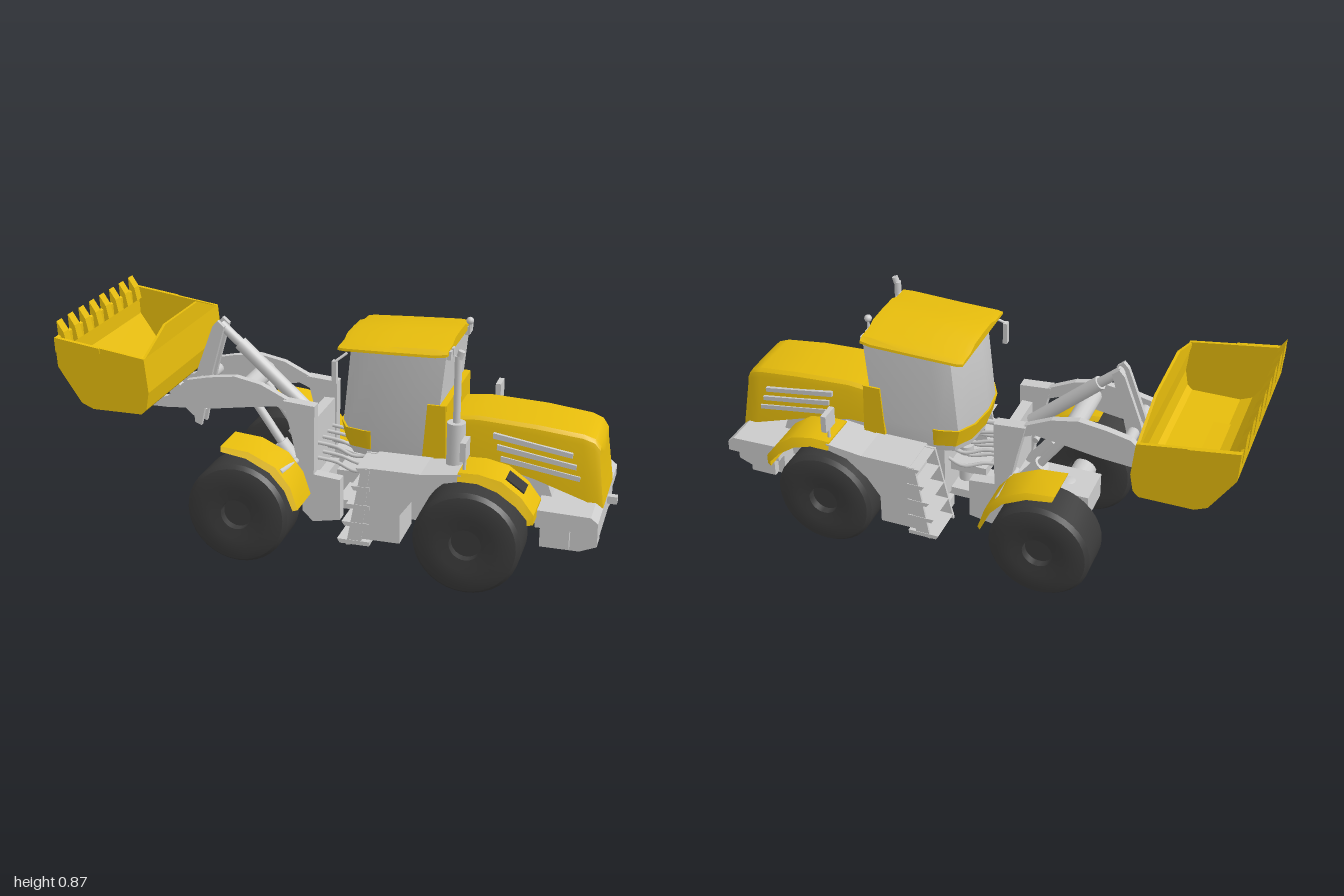
import * as THREE from 'three';
import { toCreasedNormals } from 'three/addons/utils/BufferGeometryUtils.js';

const material = (color) => new THREE.MeshStandardMaterial({ color, side: THREE.DoubleSide });
const GREY = material(0xcccccc), YELLOW = material(0xe6bc0c), DARK = material(0x3a3a3a);

export function createModel() {
  const model = new THREE.Group();
  const add = (name, geo, mat = GREY) => {
    const mesh = new THREE.Mesh(geo, mat);
    mesh.name = name;
    model.add(mesh);
    return mesh;
  };
  const box = (name, x0, x1, y0, y1, z0, z1, mat) =>
    add(name, new THREE.BoxGeometry(x1 - x0, y1 - y0, Math.abs(z1 - z0))
      .translate((x0 + x1) / 2, (y0 + y1) / 2, (z0 + z1) / 2), mat);
  // side outline in x, y pulled between two z values
  const plate = (name, pts, z0, z1, mat) => {
    const shape = new THREE.Shape(pts.map(([x, y]) => new THREE.Vector2(x, y)));
    const geo = new THREE.ExtrudeGeometry(shape, { depth: Math.abs(z1 - z0), bevelEnabled: false });
    return add(name, geo.translate(0, 0, Math.min(z0, z1)), mat);
  };
  const rod = (name, a, b, r, mat, r2 = r) => {
    const A = new THREE.Vector3(...a), B = new THREE.Vector3(...b), d = B.clone().sub(A);
    const mesh = add(name, new THREE.CylinderGeometry(r2, r, d.length(), 16), mat);
    mesh.position.copy(A).addScaledVector(d, 0.5);
    mesh.quaternion.setFromUnitVectors(new THREE.Vector3(0, 1, 0), d.normalize());
  };
  // capped skin through matching rings of points
  const loft = (name, rings, mat) => {
    const pos = [], n = rings[0].length;
    const tri = (...p) => p.forEach((q) => pos.push(...q));
    const centre = (r) => [0, 1, 2].map((k) => r.reduce((s, p) => s + p[k], 0) / n);
    const first = rings[0], last = rings[rings.length - 1], c0 = centre(first), c1 = centre(last);
    for (let j = 0; j < n; j++) {
      const k = (j + 1) % n;
      for (let i = 0; i + 1 < rings.length; i++) {
        const a = rings[i][j], b = rings[i][k], c = rings[i + 1][k], d = rings[i + 1][j];
        tri(a, d, b);
        tri(d, c, b);
      }
      tri(c0, first[j], first[k]);
      tri(c1, last[k], last[j]);
    }
    const geo = new THREE.BufferGeometry();
    geo.setAttribute('position', new THREE.Float32BufferAttribute(pos, 3));
    return add(name, toCreasedNormals(geo, 0.6), mat);
  };
  // half ring mirrored over z = 0; the last half point lies on the middle
  const mirrorRing = (half) => [...half, ...half.slice(0, -1).reverse().map(([x, y, z]) => [x, y, -z])];
  // bent mudguard with bevelled long edges; rows hold outer x, y and inner x, y
  const fender = (name, rows, s) => loft(name, rows.map(([ox, oy, ix, iy]) =>
    [[ix, iy, 0.088], [ox, oy, 0.074], [ox, oy, -0.074], [ix, iy, -0.088]].map(([x, y, z]) => [x, y, s * 0.263 + z])), YELLOW);

  // wheels and axles
  const tyreHalf = [[0, -0.06], [0.055, -0.06], [0.057, -0.088], [0.1, -0.093], [0.15, -0.095], [0.178, -0.086], [0.191, -0.07]];
  const tyrePts = [...tyreHalf, ...tyreHalf.slice().reverse().map(([r, y]) => [r, -y])].map((p) => new THREE.Vector2(...p));
  const wheelGeo = toCreasedNormals(new THREE.LatheGeometry(tyrePts, 36).rotateX(Math.PI / 2), 0.45);
  for (const x of [-0.32, 0.525]) {
    rod('axle', [x, 0.192, -0.21], [x, 0.192, 0.21], 0.045);
    add('differential', new THREE.SphereGeometry(0.075, 20, 12)).position.set(x, 0.2, 0);
    for (const s of [1, -1]) add('wheel', wheelGeo, DARK).position.set(x, 0.191, s * 0.263);
  }

  // bucket: bent shell, side walls, guard, hinge saddle and teeth
  const outer = [[-0.995, 0.8], [-0.99, 0.69], [-0.905, 0.56], [-0.86, 0.54], [-0.67, 0.54], [-0.65, 0.56], [-0.638, 0.625], [-0.65, 0.75]];
  const inner = outer.map(([x, y]) => [-0.82 + (x + 0.82) * 0.95, 0.69 + (y - 0.69) * 0.93]);
  inner[0][1] = 0.795;
  inner[7][1] = 0.75;
  plate('bucketShell', [...outer, ...inner.reverse()], -0.34, 0.34, YELLOW);
  plate('bucketSaddle', [[-0.91, 0.555], [-0.85, 0.5], [-0.8, 0.5], [-0.67, 0.545]], -0.16, 0.16, YELLOW);
  const guard = new THREE.Shape([[0.345, 0.73], [0.345, 0.745], [0.2, 0.8], [0.15, 0.82], [-0.15, 0.82], [-0.2, 0.8], [-0.345, 0.745], [-0.345, 0.73]]
    .map((p) => new THREE.Vector2(...p)));
  add('bucketGuard', new THREE.ExtrudeGeometry(guard, { depth: 0.01, bevelEnabled: false })
    .rotateY(Math.PI / 2).translate(-0.66, 0, 0), YELLOW);
  for (const s of [1, -1]) {
    plate('bucketSide', outer, s * 0.337, s * 0.35, YELLOW);
    plate('sideCutter', [[-0.995, 0.8], [-0.82, 0.775], [-0.82, 0.755], [-0.993, 0.745]], s * 0.345, s * 0.355, YELLOW);
    for (let i = 0; i < 4; i++) {
      const z = s * (0.0425 + i * 0.085);
      plate('bucketTooth', [[-1, 0.85], [-0.995, 0.74], [-0.965, 0.76], [-0.975, 0.81]], z - 0.02, z + 0.02, YELLOW);
    }
  }

  // loader linkage
  const armPts = [[-0.84, 0.505], [-0.66, 0.538], [-0.58, 0.61], [-0.49, 0.63], [-0.39, 0.643], [-0.29, 0.623], [-0.18, 0.57], [-0.085, 0.56],
    [-0.085, 0.505], [-0.17, 0.52], [-0.23, 0.545], [-0.34, 0.53], [-0.47, 0.51], [-0.66, 0.495], [-0.8, 0.495]];
  const towerPts = [[-0.2, 0.575], [-0.08, 0.565], [-0.085, 0.3], [0.015, 0.29], [0.015, 0.13], [-0.09, 0.11], [-0.13, 0.15], [-0.135, 0.28], [-0.17, 0.45]];
  for (const s of [1, -1]) {
    plate('liftArm', armPts, s * 0.118, s * 0.145);
    plate('frontTower', towerPts, s * 0.115, s * 0.16);
    rod('liftCylinder', [-0.24, 0.38, s * 0.08], [-0.12, 0.22, s * 0.08], 0.03);
    rod('liftRod', [-0.35, 0.55, s * 0.08], [-0.2, 0.33, s * 0.08], 0.016);
    plate('bellCrank', [[-0.515, 0.79], [-0.495, 0.812], [-0.47, 0.79], [-0.52, 0.62], [-0.555, 0.48], [-0.575, 0.39], [-0.6, 0.4], [-0.61, 0.52], [-0.58, 0.62]],
      s * 0.018, s * 0.036);
    fender('frontFender', [[-0.375, 0.447, -0.37, 0.432], [-0.27, 0.437, -0.275, 0.417], [-0.17, 0.39, -0.187, 0.373], [-0.115, 0.32, -0.132, 0.31],
      [-0.088, 0.235, -0.102, 0.235]], s);
    rod('fenderBracket', [-0.15, 0.34, s * 0.1], [-0.16, 0.365, s * 0.32], 0.012);
  }
  plate('bucketLink', [[-0.73, 0.52], [-0.67, 0.54], [-0.56, 0.45], [-0.585, 0.395]], -0.018, 0.018);
  rod('armCrossTube', [-0.36, 0.585, -0.12], [-0.36, 0.585, 0.12], 0.035);
  rod('crankPivot', [-0.56, 0.57, -0.12], [-0.56, 0.57, 0.12], 0.022);
  rod('tiltRod', [-0.495, 0.79, 0], [-0.36, 0.672, 0], 0.018);
  rod('tiltCylinder', [-0.42, 0.724, 0], [-0.17, 0.5, 0], 0.026);
  box('towerCrossPlate', -0.13, -0.09, 0.28, 0.5, -0.115, 0.115);
  box('frontChassis', -0.42, -0.06, 0.17, 0.27, -0.08, 0.08);

  // articulation joint and hoses
  for (const y of [0.14, 0.26]) box('hingePlate', -0.02, 0.14, y, y + 0.035, -0.08, 0.08);
  rod('hingePin', [0.09, 0.125, 0], [0.09, 0.33, 0], 0.028);
  for (const z of [-0.09, -0.03, 0.03, 0.09])
    for (const y of [0.33, 0.39]) {
      const curve = new THREE.CatmullRomCurve3([[-0.1, y + 0.01, z], [-0.02, y, z], [0.06, y - 0.02, z * 1.2], [0.15, y, z]]
        .map((p) => new THREE.Vector3(...p)));
      add('hose', new THREE.TubeGeometry(curve, 12, 0.007, 6));
    }

  // rear chassis, counterweight and hitch
  plate('rearChassis', [[0.12, 0.42], [0.5, 0.44], [0.76, 0.39], [0.8, 0.28], [0.78, 0.2], [0.66, 0.22], [0.4, 0.22], [0.3, 0.16], [0.12, 0.16]], -0.14, 0.14);
  plate('counterweightTop', [[0.75, 0.32], [0.94, 0.315], [0.965, 0.295], [0.965, 0.255], [0.75, 0.255]], -0.268, 0.268);
  plate('counterweight', [[0.76, 0.255], [0.96, 0.255], [0.96, 0.192], [0.76, 0.16]], -0.14, 0.14);
  for (const s of [1, -1]) {
    plate('counterweightBlock', [[0.76, 0.255], [0.96, 0.255], [0.96, 0.18], [0.9, 0.155], [0.76, 0.155]], s * 0.14, s * 0.21);
    box('counterweightFoot', 0.77, 0.87, 0.185, 0.255, s * 0.24, s * 0.268);
    box('underPad', 0.1, 0.2, 0.115, 0.16, s * 0.1, s * 0.16);
  }
  box('towHitch', 0.95, 1, 0.26, 0.288, -0.013, 0.013);

  // side steps, platforms and rear fenders
  for (const s of [1, -1]) {
    plate('sideTank', [[0.17, 0.433], [0.36, 0.433], [0.5, 0.45], [0.5, 0.425], [0.42, 0.405], [0.34, 0.34], [0.29, 0.27], [0.29, 0.16], [0.14, 0.16]],
      s * 0.175, s * 0.343);
    plate('stepCheek', [[0.13, 0.433], [0.18, 0.433], [0.15, 0.14], [0.06, 0.13]], s * 0.195, s * 0.205);
    plate('stepCheek', [[0.15, 0.433], [0.18, 0.433], [0.15, 0.14], [0.095, 0.13]], s * 0.335, s * 0.345);
    for (let i = 0; i < 5; i++) {
      const x = 0.062 + i * 0.017, y = 0.135 + i * 0.07;
      plate('step', [[x, y + 0.016], [0.18, y + 0.016], [0.18, y], [x + 0.01, y]], s * 0.195, s * 0.347);
    }
    fender('rearFender', [[0.49, 0.455, 0.49, 0.428], [0.56, 0.457, 0.56, 0.428], [0.64, 0.44, 0.63, 0.405], [0.71, 0.39, 0.695, 0.36],
      [0.755, 0.33, 0.735, 0.315], [0.755, 0.295, 0.735, 0.295]], s);
    rod('lampPost', [0.505, 0.44, s * 0.303], [0.505, 0.51, s * 0.303], 0.006);
    box('lampPanel', 0.495, 0.515, 0.497, 0.565, s * 0.268, s * 0.34);
  }
  plate('fenderGrip', [[0.65, 0.44], [0.715, 0.394], [0.71, 0.385], [0.645, 0.43]], 0.23, 0.3, DARK);

  // engine hood: x at base, x at top, y base, y top, half widths
  const hood = [[0.42, 0.42, 0.43, 0.575, 0.14, 0.124], [0.51, 0.51, 0.43, 0.585, 0.142, 0.126], [0.72, 0.72, 0.38, 0.574, 0.145, 0.128],
    [0.9, 0.88, 0.32, 0.556, 0.145, 0.124], [0.948, 0.92, 0.3, 0.542, 0.141, 0.12], [0.965, 0.94, 0.295, 0.515, 0.137, 0.114]];
  loft('hood', hood.map(([xb, xt, yb, yt, wb, wt]) => mirrorRing(
    [[0, wb], [1, wt + 0.005, 0.035], [1, wt, 0.014], [1, wt - 0.014, 0.003], [1, 0, 0]]
      .map(([t, z, drop = 0]) => [t ? xt : xb, t ? yt - drop : yb, z]))), YELLOW);
  for (const s of [1, -1])
    for (let i = 0; i < 3; i++) {
      const x = 0.57 + i * 0.015, y = 0.535 - i * 0.042;
      plate('hoodVent', [[x, y], [x + 0.28, y - 0.045], [x + 0.28, y - 0.062], [x, y - 0.02]], s * 0.12, s * 0.146);
    }

  // cab body with a bowed windscreen
  const cabRing = (y, xf, xr, w) => mirrorRing([[xr, w], [xf + 0.12, w], [xf + 0.05, w * 0.9], [xf + 0.013, w * 0.55], [xf, 0]]
    .map(([x, z]) => [x, y, z]));
  loft('cab', [cabRing(0.41, 0.02, 0.37, 0.18), cabRing(0.5, 0, 0.375, 0.192), cabRing(0.81, 0.03, 0.405, 0.188)], GREY);
  loft('cabSkirt', [cabRing(0.44, 0.01, 0.14, 0.192), cabRing(0.51, -0.006, 0.14, 0.197)], YELLOW);
  for (const s of [1, -1]) {
    plate('cabCorner', [[0.345, 0.635], [0.41, 0.635], [0.415, 0.44], [0.33, 0.44]], s * 0.17, s * 0.198, YELLOW);
    for (const z of [0.125, 0.165]) box('roofLamp', 0.395, 0.42, 0.798, 0.828, s * (z - 0.013), s * (z + 0.013));
  }
  box('cabRearPanel', 0.37, 0.412, 0.43, 0.635, -0.195, 0.195, YELLOW);
  rod('mirrorArm', [0.05, 0.79, 0.18], [0.01, 0.76, 0.205], 0.005);
  box('mirror', 0.002, 0.018, 0.68, 0.765, 0.19, 0.213);

  // roof with a raised middle: x, base, crown, half width
  loft('roof', [[0.02, 0.803, 0.832, 0.198], [0.045, 0.803, 0.838, 0.204], [0.2, 0.806, 0.845, 0.205], [0.37, 0.81, 0.852, 0.205], [0.412, 0.815, 0.851, 0.2]]
    .map(([x, b, t, w]) => mirrorRing([[x, b, w], [x, b + 0.009, w - 0.002], [x, t - 0.017, w - 0.022], [x, t - 0.016, 0.12], [x, t - 0.002, 0.08], [x, t, 0]])), YELLOW);

  // exhaust, beacon
  rod('muffler', [0.457, 0.43, 0.228], [0.457, 0.595, 0.228], 0.033);
  rod('exhaustPipe', [0.457, 0.59, 0.228], [0.457, 0.835, 0.228], 0.013);
  rod('exhaustTip', [0.457, 0.82, 0.228], [0.468, 0.853, 0.228], 0.012);
  rod('beaconStem', [0.425, 0.81, -0.097], [0.425, 0.85, -0.097], 0.005);
  add('beacon', new THREE.SphereGeometry(0.014, 12, 8)).position.set(0.425, 0.858, -0.097);

  return model;
}
